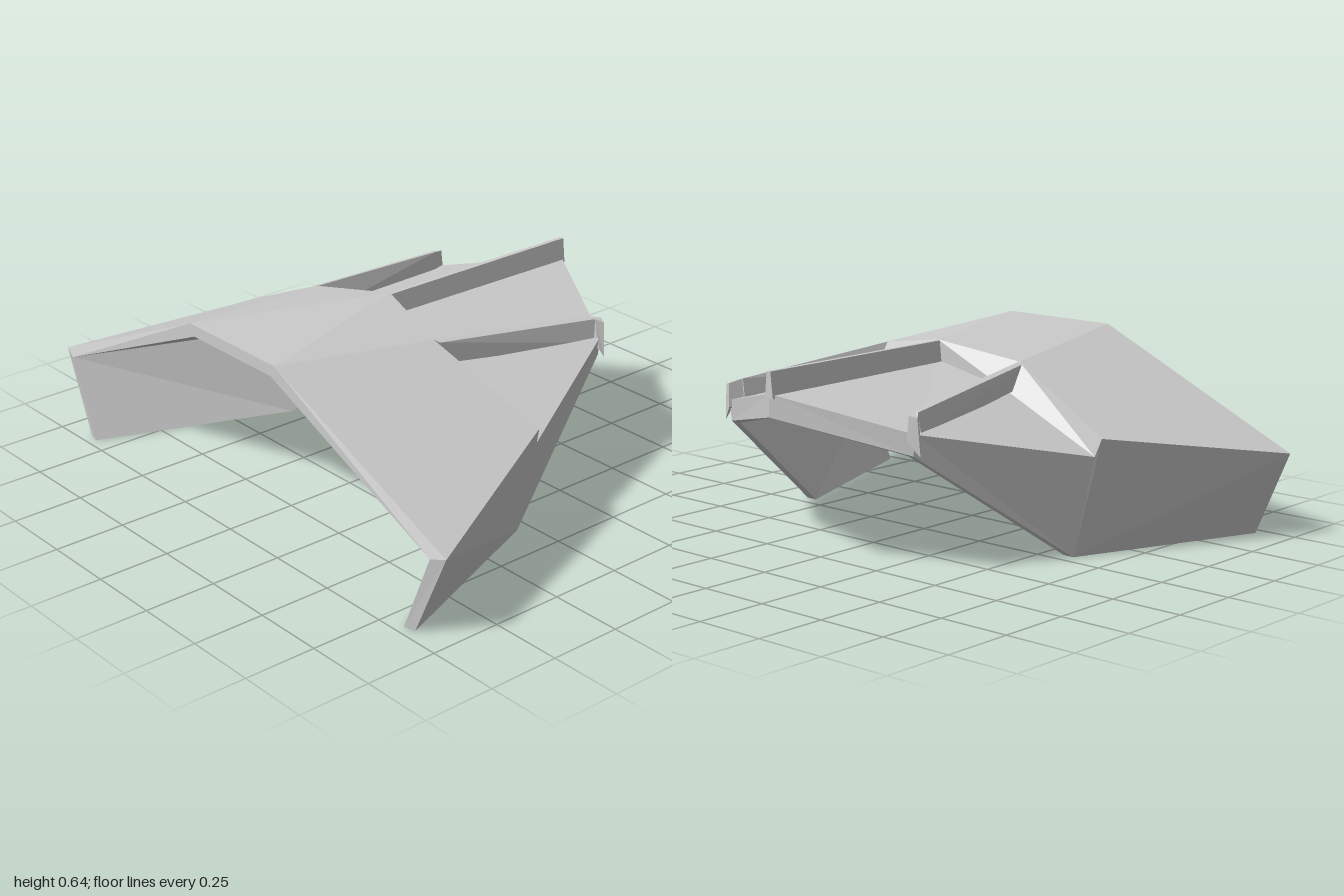
import * as THREE from 'three';

// Corner points of the +z half of the shell
const P = {
  // roof
  roofMid: [-0.72, 0.65, 0], roofBend: [-0.72, 0.65, 0.22], roofTip: [-0.705, 0.30, 1.0],
  stepMid: [-0.07, 0.65, 0], stepBend: [-0.14, 0.60, 0.30], stepTip: [-0.06, 0.41, 0.71],
  // sunken front deck
  deckMid: [-0.07, 0.58, 0], deckBend: [-0.07, 0.522, 0.285], deckTip: [-0.05, 0.35, 0.69],
  nose: [0.72, 0.575, 0], cheek: [0.50, 0.47, 0.42],
  noseLow: [0.72, 0.50, 0], cheekLow: [0.50, 0.40, 0.41],
  // lower edge of the side plate
  footFront: [-0.05, 0.005, 0.61], footRear: [-0.71, 0.005, 0.87],
  // inner skin
  inMid: [-0.72, 0.61, 0], inBend: [-0.72, 0.61, 0.20], inTip: [-0.72, 0.285, 0.945],
  inDeck: [0.20, 0.455, 0.30], inDeckTip: [-0.07, 0.31, 0.645],
  inCheek: [0.49, 0.395, 0.38], inFootFront: [-0.05, 0.005, 0.57], inFootRear: [-0.72, 0.005, 0.83],
};

const material = new THREE.MeshStandardMaterial({ color: 0xcccccc, flatShading: true, side: THREE.DoubleSide });

// Mesh from polygons, each fanned from its first corner, with its mirror image across z
function mirrored(name, polygons) {
  const pos = [];
  const flip = ([x, y, z]) => [x, y, -z];
  for (const poly of polygons) {
    for (let i = 1; i < poly.length - 1; i++) {
      const [a, b, c] = [poly[0], poly[i], poly[i + 1]];
      pos.push(...a, ...b, ...c, ...flip(a), ...flip(c), ...flip(b));
    }
  }
  const geo = new THREE.BufferGeometry();
  geo.setAttribute('position', new THREE.Float32BufferAttribute(pos, 3));
  geo.computeVertexNormals();
  const mesh = new THREE.Mesh(geo, material);
  mesh.name = name;
  return mesh;
}

const panel = (name, faces) => mirrored(name, faces.map(f => f.split(' ').map(k => P[k])));

// Solid bar between two four-cornered sections
function bar(name, a, b) {
  const sides = a.map((p, i) => [p, a[(i + 1) % 4], b[(i + 1) % 4], b[i]]);
  return mirrored(name, [...sides, [...a].reverse(), b]);
}

export function createModel() {
  const model = new THREE.Group();
  model.name = 'wedgeShell';
  model.add(
    panel('roof', [
      'roofBend stepBend stepMid roofMid',
      'roofBend roofTip stepTip stepBend',
    ]),
    panel('roofStep', [
      'stepMid stepBend deckBend deckMid',
      'stepBend stepTip deckTip deckBend',
    ]),
    panel('frontDeck', [
      'deckMid deckBend cheek nose',
      'deckBend deckTip cheek',
    ]),
    panel('noseEdge', ['nose cheek cheekLow noseLow']),
    panel('sidePlate', [
      'footFront cheekLow cheek deckTip stepTip roofTip footRear',
      'inFootFront inFootRear inTip inDeckTip inCheek',
    ]),
    panel('lowerEdge', [
      'footRear inFootRear inFootFront footFront',
      'cheekLow footFront inFootFront inCheek',
      'noseLow cheekLow inCheek',
    ]),
    panel('rearRim', [
      'roofMid inMid inBend roofBend',
      'roofBend inBend inTip roofTip',
      'roofTip inTip inFootRear footRear',
    ]),
    // one smooth run from the rear opening to the nose
    panel('underside', [
      'inMid noseLow inDeck inBend',
      'inBend inDeck inDeckTip inTip',
      'noseLow inCheek inDeck',
      'inDeck inCheek inDeckTip',
    ]),
    // slanting ribs across the deck
    bar('deckRib',
      [[-0.07, 0.515, 0.28], [-0.14, 0.60, 0.297], [-0.13, 0.593, 0.318], [-0.075, 0.512, 0.325]],
      [[0.47, 0.46, 0.375], [0.47, 0.542, 0.385], [0.48, 0.535, 0.41], [0.47, 0.455, 0.418]]),
    // upright block closing each rib at the front
    bar('ribEnd',
      [[0.465, 0.45, 0.375], [0.465, 0.542, 0.385], [0.48, 0.535, 0.412], [0.485, 0.43, 0.43]],
      [[0.52, 0.45, 0.40], [0.515, 0.53, 0.405], [0.503, 0.523, 0.43], [0.50, 0.40, 0.44]]),
  );

  // tapered fin along the centre line
  const section = new THREE.Shape([[-0.018, 0.56], [0.018, 0.56], [0.008, 0.647], [-0.008, 0.647]]
    .map(([x, y]) => new THREE.Vector2(x, y)));
  const fin = new THREE.Mesh(new THREE.ExtrudeGeometry(section, { depth: 0.795, bevelEnabled: false }), material);
  fin.name = 'centreFin';
  fin.rotation.y = Math.PI / 2;
  fin.position.x = -0.075;
  model.add(fin);
  return model;
}
